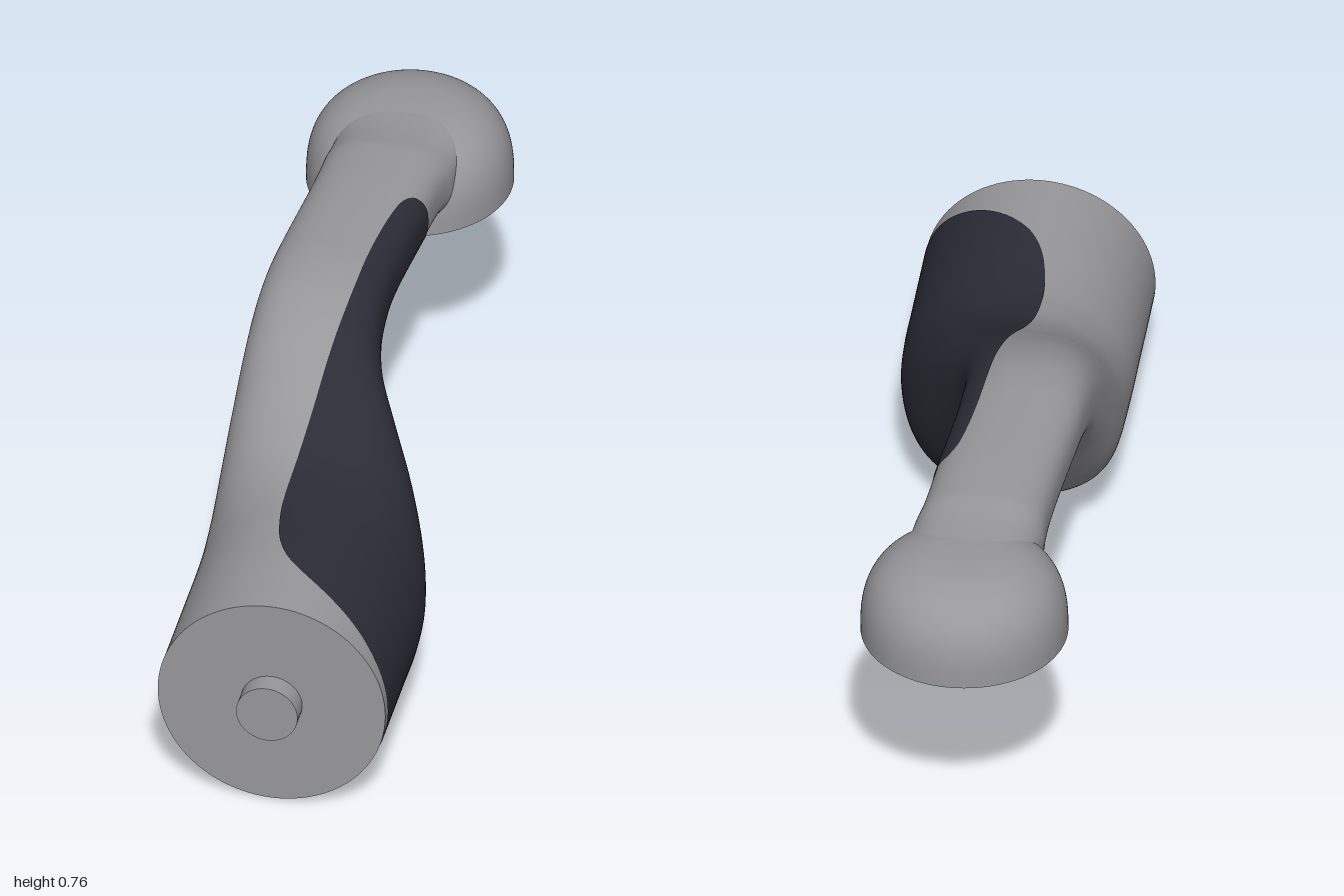
import * as THREE from 'three';

// Arm stations, front to back: z, left x, right x, bottom y, top y
const STATIONS = [
  [0.95, -0.247, 0.278, 0.002, 0.528],
  [0.7, -0.247, 0.278, 0.002, 0.528],
  [0.6, -0.247, 0.278, 0.002, 0.528],
  [0.5, -0.247, 0.27, 0.014, 0.533],
  [0.4, -0.247, 0.245, 0.055, 0.55],
  [0.3, -0.246, 0.2, 0.14, 0.593],
  [0.2, -0.243, 0.14, 0.26, 0.65],
  [0.1, -0.24, 0.085, 0.385, 0.702],
  [0, -0.236, 0.058, 0.49, 0.738],
  [-0.1, -0.231, 0.052, 0.545, 0.753],
  [-0.2, -0.224, 0.055, 0.562, 0.755],
  [-0.4, -0.207, 0.072, 0.565, 0.755],
  [-0.5, -0.201, 0.08, 0.562, 0.753],
  [-0.55, -0.2, 0.086, 0.555, 0.752],
  [-0.6, -0.2, 0.096, 0.54, 0.75],
  [-0.7, -0.185, 0.098, 0.54, 0.746],
  [-0.8, -0.15, 0.065, 0.54, 0.738],
  [-0.9, -0.11, 0.025, 0.54, 0.72],
];

// Seam of the dark side panel seen from above: z, x
const SEAM = [
  [0.93, 0.278], [0.915, 0.243], [0.9, 0.215], [0.85, 0.125], [0.8, 0.055],
  [0.74, 0.002], [0.65, -0.033], [0.5, -0.05], [0.2, -0.03], [0, -0.012],
  [-0.2, 0], [-0.35, 0.02], [-0.4, 0.042], [-0.42, 0.074],
];

// Domed head: centre, radius, base height, dome height, roundness
const HEAD = { x: -0.043, z: -0.765, r: 0.235, base: 0.528, h: 0.21, n: 2.85 };

const { clamp, lerp, smoothstep } = THREE.MathUtils;
const power = (v, p) => Math.sign(v) * Math.abs(v) ** p;

// Smooth cubic interpolation of one column of a table sorted by falling z
function sample(table, z, col) {
  let i = 0;
  while (i < table.length - 2 && z < table[i + 1][0]) i++;
  const slope = (k) => {
    const a = table[Math.max(k - 1, 0)], b = table[Math.min(k + 1, table.length - 1)];
    return (b[col] - a[col]) / (b[0] - a[0]);
  };
  const [p, q] = [table[i], table[i + 1]];
  const h = q[0] - p[0], t = clamp((z - p[0]) / h, 0, 1);
  const t2 = t * t, t3 = t2 * t;
  return (2 * t3 - 3 * t2 + 1) * p[col] + (t3 - 2 * t2 + t) * h * slope(i)
    + (3 * t2 - 2 * t3) * q[col] + (t3 - t2) * h * slope(i + 1);
}

// Cross-section: a circle at the front, a rounded box along the neck
function section(z) {
  const [l, r, b, t] = [1, 2, 3, 4].map((c) => sample(STATIONS, z, c));
  const n = 2.7 - 0.7 * smoothstep(z, 0.2, 0.55);
  return { cx: (l + r) / 2, hx: (r - l) / 2, cy: (b + t) / 2, hy: (t - b) / 2, p: 2 / n };
}

function domeHeight(x, z) {
  const u = Math.min(Math.hypot(x - HEAD.x, z - HEAD.z) / HEAD.r, 1);
  return HEAD.base + HEAD.h * (1 - u ** HEAD.n) ** (1 / HEAD.n);
}

// Point on a section; its upper side sinks gently into the dome
function pointOn(s, angle, z, offset = 0) {
  const x = s.cx + (s.hx + offset) * power(Math.cos(angle), s.p);
  const y = s.cy + (s.hy + offset) * power(Math.sin(angle), s.p);
  const sink = smoothstep(-z, 0.56, 0.8) * smoothstep(Math.sin(angle), 0, 0.4);
  return [x, lerp(y, domeHeight(x, z) - 0.003, sink), z];
}

// Skin over rows of points; closed rows wrap round
function skin(rows, closed) {
  const n = rows[0].length, index = [];
  for (let i = 0; i < rows.length - 1; i++) {
    for (let j = 0; j < (closed ? n : n - 1); j++) {
      const k = (j + 1) % n;
      const a = i * n + j, b = i * n + k, c = a + n, d = b + n;
      index.push(a, c, b, b, c, d);
    }
  }
  const geo = new THREE.BufferGeometry();
  geo.setAttribute('position', new THREE.Float32BufferAttribute(rows.flat(2), 3));
  geo.setIndex(index);
  geo.computeVertexNormals();
  return geo;
}

function armGeometry() {
  const rows = [];
  for (let i = 0; i <= 150; i++) {
    const z = 0.95 - 1.85 * i / 150, s = section(z);
    rows.push(Array.from({ length: 96 }, (_, j) => pointOn(s, j / 96 * Math.PI * 2, z)));
  }
  return skin(rows, true);
}

function panelGeometry() {
  const rows = [];
  for (let i = 0; i <= 140; i++) {
    // rows crowd together at the rounded ends
    const z = 0.255 + 0.675 * Math.cos(i / 140 * Math.PI), s = section(z);
    const u = clamp((sample(SEAM, z, 1) - s.cx) / s.hx, -1, 1);
    const half = Math.max(Math.acos(power(u, 1 / s.p)), 0.01);
    rows.push(Array.from({ length: 65 }, (_, j) => pointOn(s, half * (j / 32 - 1), z, 0.0018)));
  }
  return skin(rows, false);
}

function headGeometry() {
  const profile = [];
  for (let i = 0; i <= 32; i++) {
    const a = i / 32 * Math.PI / 2, p = 2 / HEAD.n;
    profile.push(new THREE.Vector2(
      i === 32 ? 0 : HEAD.r * Math.cos(a) ** p,
      HEAD.base + HEAD.h * Math.sin(a) ** p,
    ));
  }
  return new THREE.LatheGeometry(profile, 96);
}

export function createModel() {
  const group = new THREE.Group();
  const grey = new THREE.MeshStandardMaterial({ color: 0x98989b });
  const dark = new THREE.MeshStandardMaterial({ color: 0x2c2c37, side: THREE.DoubleSide });
  const add = (name, geo, mat = grey, x = 0, y = 0, z = 0) => {
    const mesh = new THREE.Mesh(geo, mat);
    mesh.name = name;
    mesh.position.set(x, y, z);
    group.add(mesh);
    return mesh;
  };

  // Swept arm with its flat front face and dark side panel
  add('arm', armGeometry());
  add('frontFace', new THREE.CircleGeometry(0.263, 96), grey, 0.0155, 0.265, 0.95);
  add('sidePanel', panelGeometry(), dark);

  // Domed head at the back
  add('head', headGeometry(), grey, HEAD.x, 0, HEAD.z);
  add('headBase', new THREE.CircleGeometry(HEAD.r, 96), grey, HEAD.x, HEAD.base, HEAD.z).rotation.x = Math.PI / 2;

  // Short pins on the front face and under the head
  const pin = new THREE.CylinderGeometry(0.071, 0.071, 0.06, 48);
  add('frontPin', pin, grey, 0.0155, 0.265, 0.97).rotation.x = Math.PI / 2;
  add('headPin', pin, grey, HEAD.x, 0.51, HEAD.z);
  return group;
}
